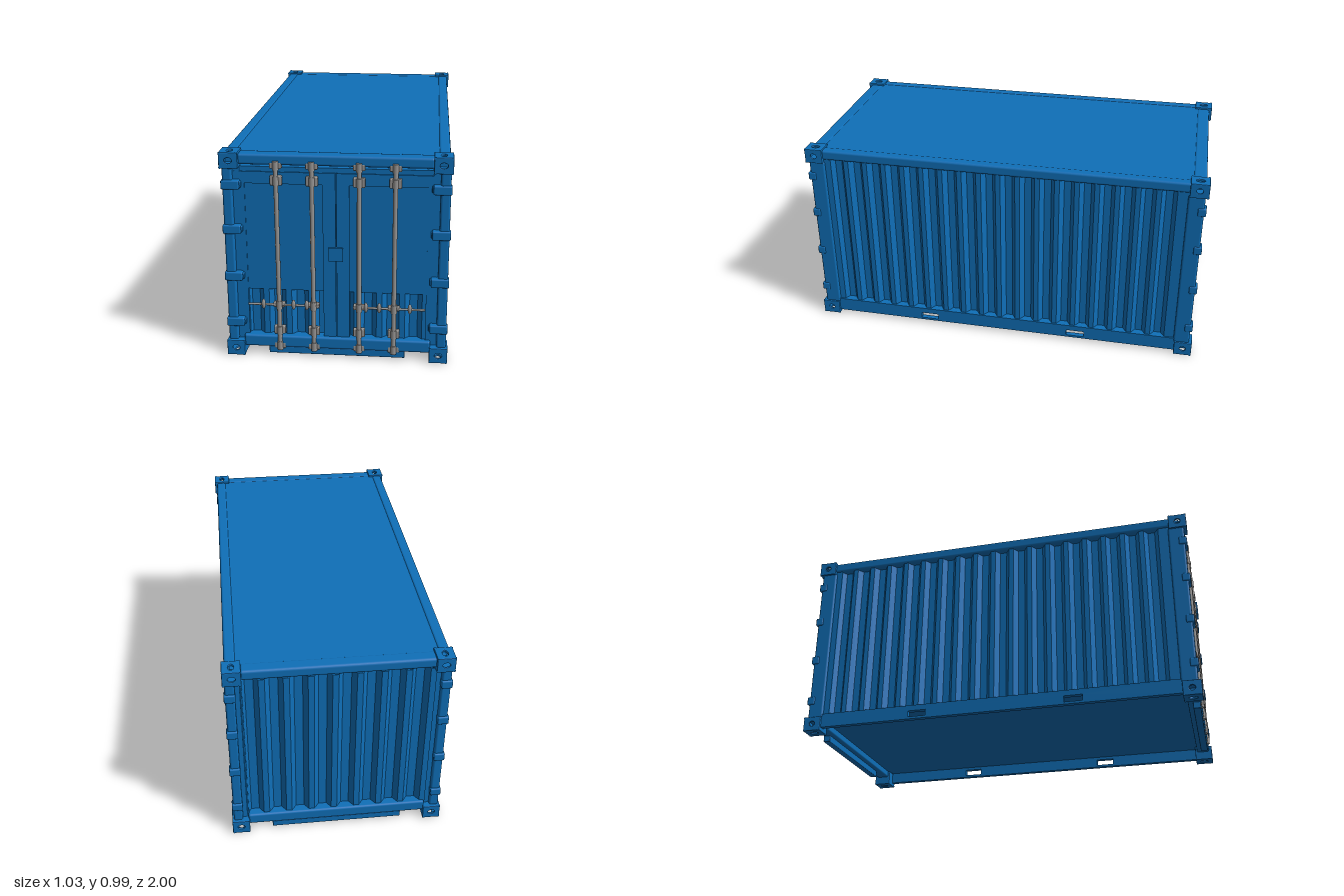
import * as THREE from 'three';
import { RoundedBoxGeometry } from 'three/addons/geometries/RoundedBoxGeometry.js';

const blue = new THREE.MeshStandardMaterial({ color: 0x0f6fb8 });
blue.name = 'blue paint';
const steel = new THREE.MeshStandardMaterial({ color: 0x989694 });
steel.name = 'bare steel';

function add(parent, name, geometry, material, x = 0, y = 0, z = 0) {
  const mesh = new THREE.Mesh(geometry, material);
  mesh.name = name;
  mesh.position.set(x, y, z);
  parent.add(mesh);
  return mesh;
}

// Box given by its limits on each axis
function bar(parent, name, [x0, x1], [y0, y1], [z0, z1], round = 0, material = blue) {
  const size = [x1 - x0, y1 - y0, z1 - z0];
  const geometry = round ? new RoundedBoxGeometry(...size, 2, round) : new THREE.BoxGeometry(...size);
  return add(parent, name, geometry, material, (x0 + x1) / 2, (y0 + y1) / 2, (z0 + z1) / 2);
}

function rectangle(path, x0, y0, x1, y1) {
  path.moveTo(x0, y0);
  path.lineTo(x1, y0);
  path.lineTo(x1, y1);
  path.lineTo(x0, y1);
  path.closePath();
  return path;
}

// Trapezoid sheet along x, rising in y, outermost ribs at z = 0
function corrugated(width, height, count, depth) {
  const pitch = width / count, points = [];
  for (let i = 0; i < count; i++) {
    const x = -width / 2 + i * pitch;
    points.push([x, 0], [x + pitch * 0.2, depth], [x + pitch * 0.55, depth], [x + pitch * 0.75, 0]);
  }
  points.push([width / 2, 0]);
  const back = points.map(([x, y]) => [x, y + 0.006]).reverse();
  const shape = new THREE.Shape([...points, ...back].map(([x, y]) => new THREE.Vector2(x, y)));
  return new THREE.ExtrudeGeometry(shape, { depth: height, bevelEnabled: false }).rotateX(-Math.PI / 2);
}

// Casting wall, lying in xy with its outer face at z = 0
function castingWall(w, h, holeW, holeH) {
  const shape = rectangle(new THREE.Shape(), -w / 2 + 0.004, -h / 2 + 0.004, w / 2 - 0.004, h / 2 - 0.004);
  if (holeW) {
    const hole = new THREE.Path();
    hole.absellipse(0, 0, holeW / 2, holeH / 2, 0, Math.PI * 2, true);
    shape.holes.push(hole);
  }
  return new THREE.ExtrudeGeometry(shape, {
    depth: 0.004, bevelThickness: 0.004, bevelSize: 0.004, bevelSegments: 2, curveSegments: 8,
  }).translate(0, 0, -0.008);
}

// Hollow corner block with holes on its three outward sides
function cornerCasting(sx, sy, sz) {
  const w = 0.085, h = 0.075, d = 0.09, g = new THREE.Group();
  g.name = 'cornerCasting';
  for (const s of [-1, 1]) {
    const f = s === sz, e = s === sx, t = s === sy;
    add(g, 'castingEnd', castingWall(w, h, f && 0.042, 0.034), blue, 0, 0, s * d / 2).rotation.y = s > 0 ? 0 : Math.PI;
    add(g, 'castingSide', castingWall(d, h, e && 0.038, 0.034), blue, s * w / 2, 0, 0).rotation.y = s * Math.PI / 2;
    add(g, 'castingCap', castingWall(w, d, t && 0.034, 0.05), blue, 0, s * h / 2, 0).rotation.x = -s * Math.PI / 2;
  }
  g.position.set(sx * (0.515 - w / 2), sy > 0 ? 0.99 - h / 2 : h / 2, sz * (1 - d / 2));
  return g;
}

// Frame: rails, posts, sills and corner blocks
function buildFrame(root) {
  const frame = new THREE.Group();
  frame.name = 'frame';
  root.add(frame);

  const railShape = rectangle(new THREE.Shape(), -0.915, 0.018, 0.915, 0.09);
  for (const s of [-1, 1])
    railShape.holes.push(rectangle(new THREE.Path(), s * 0.395 - 0.046, 0.03, s * 0.395 + 0.046, 0.061));
  const railGeometry = new THREE.ExtrudeGeometry(railShape, { depth: 0.025, bevelEnabled: false })
    .translate(0, 0, -0.025);

  for (const s of [-1, 1]) {
    const span = (a, b) => (s > 0 ? [a, b] : [-b, -a]);
    add(frame, 'bottomRail', railGeometry, blue, s * 0.503, 0, 0).rotation.y = s * Math.PI / 2;
    bar(frame, 'topRail', span(0.45, 0.503), [0.932, 0.983], [-0.92, 0.92], 0.012);
    // End rails and sills
    bar(frame, 'header', [-0.435, 0.435], [0.932, 0.982], span(0.92, 0.985), 0.012);
    bar(frame, 'sill', [-0.435, 0.435], [0.042, 0.1], span(0.92, 0.985), 0.01);
    bar(frame, 'sillDrop', [-0.318, 0.318], [0.01, 0.045], span(0.945, 0.982), 0.004);
    for (const sx of [-1, 1]) {
      const across = (a, b) => (sx > 0 ? [a, b] : [-b, -a]);
      bar(frame, 'cornerPost', across(0.462, 0.507), [0.07, 0.92], span(0.905, 0.985), 0.01);
      bar(frame, 'postLip', across(0.43, 0.47), [0.07, 0.92], span(0.93, 0.965), 0.006);
      // Wrap-around straps on the posts
      for (const y of [0.167, 0.398, 0.627, 0.838]) {
        bar(frame, 'hinge', across(s > 0 ? 0.43 : 0.46, 0.512), [y - 0.021, y + 0.021], span(0.955, 0.995), 0.006);
        if (s > 0) bar(frame, 'hingeKnuckle', across(0.424, 0.462), [y - 0.015, y + 0.015], span(0.955, 0.985), 0.005);
      }
      for (const sy of [-1, 1]) frame.add(cornerCasting(sx, sy, s));
    }
  }
}

// Shell: roof, floor, side and back walls
function buildShell(root) {
  const shell = new THREE.Group();
  shell.name = 'shell';
  root.add(shell);
  bar(shell, 'roof', [-0.48, 0.48], [0.965, 0.979], [-0.96, 0.96]);
  bar(shell, 'floor', [-0.485, 0.485], [0.076, 0.09], [-0.94, 0.94]);
  const side = corrugated(1.76, 0.86, 18, 0.03);
  for (const s of [-1, 1]) {
    add(shell, 'sideWall', side, blue, s * 0.495, 0.08, 0).rotation.y = s * Math.PI / 2;
    for (const z of [-1, 1])
      bar(shell, 'sideEdge', s > 0 ? [0.487, 0.495] : [-0.495, -0.487], [0.08, 0.94],
        z > 0 ? [0.875, 0.92] : [-0.92, -0.875]);
  }
  add(shell, 'backWall', corrugated(0.88, 0.83, 8, 0.03), blue, 0, 0.09, -0.97).rotation.y = Math.PI;
}

// Doors with frames, flat plates and the central lock cover
function buildDoors(root) {
  const doors = new THREE.Group();
  doors.name = 'doors';
  root.add(doors);
  add(doors, 'doorSheet', corrugated(0.84, 0.8, 8, 0.022), blue, 0, 0.098, 0.957);
  bar(doors, 'doorHeadStrip', [-0.46, 0.46], [0.894, 0.92], [0.935, 0.962]);
  for (const s of [-1, 1]) {
    const span = (a, b) => (s > 0 ? [a, b] : [-b, -a]);
    bar(doors, 'doorPlate', span(0.06, 0.41), [0.328, 0.842], [0.95, 0.962]);
    bar(doors, 'doorTopFrame', span(0.003, 0.43), [0.842, 0.897], [0.945, 0.968]);
    bar(doors, 'doorOuterFrame', span(0.41, 0.455), [0.1, 0.897], [0.945, 0.966]);
    bar(doors, 'doorInnerFrame', span(0.002, 0.06), [0.1, 0.897], [0.945, 0.968]);
  }
  bar(doors, 'lockCover', [-0.034, 0.032], [0.484, 0.548], [0.96, 0.98]);
}

// Locking rods with brackets, cams and handles
function buildLocks(root) {
  const rod = new THREE.CylinderGeometry(0.0105, 0.0105, 0.9, 12);
  const collar = new THREE.CylinderGeometry(0.014, 0.014, 0.042, 12);
  const handle = new THREE.CylinderGeometry(0.0055, 0.0055, 0.33, 8).rotateZ(Math.PI / 2);
  const knob = new THREE.SphereGeometry(0.025, 10, 8).scale(0.4, 1, 0.4);
  const z = 0.982;
  for (const s of [-1, 1]) {
    const locks = new THREE.Group();
    locks.name = 'doorLocks';
    root.add(locks);
    for (const x of [s * 0.105, s * 0.265]) {
      add(locks, 'lockRod', rod, steel, x, 0.488, z);
      for (const [y, h] of [[0.931, 0.03], [0.861, 0.044], [0.26, 0.024], [0.131, 0.04], [0.052, 0.03]]) {
        bar(locks, 'rodBracket', [x - 0.027, x + 0.027], [y - h / 2, y + h / 2], [0.962, 0.986], 0.005, steel);
        add(locks, 'rodCollar', collar, steel, x, y, z);
      }
    }
    add(locks, 'handleBar', handle, steel, s * 0.243, 0.26, z);
    for (const x of [0.137, 0.198, 0.338]) add(locks, 'handleCatch', knob, steel, s * x, 0.262, z);
  }
}

export function createModel() {
  const root = new THREE.Group();
  root.name = 'shippingContainer';
  buildFrame(root);
  buildShell(root);
  buildDoors(root);
  buildLocks(root);
  return root;
}
